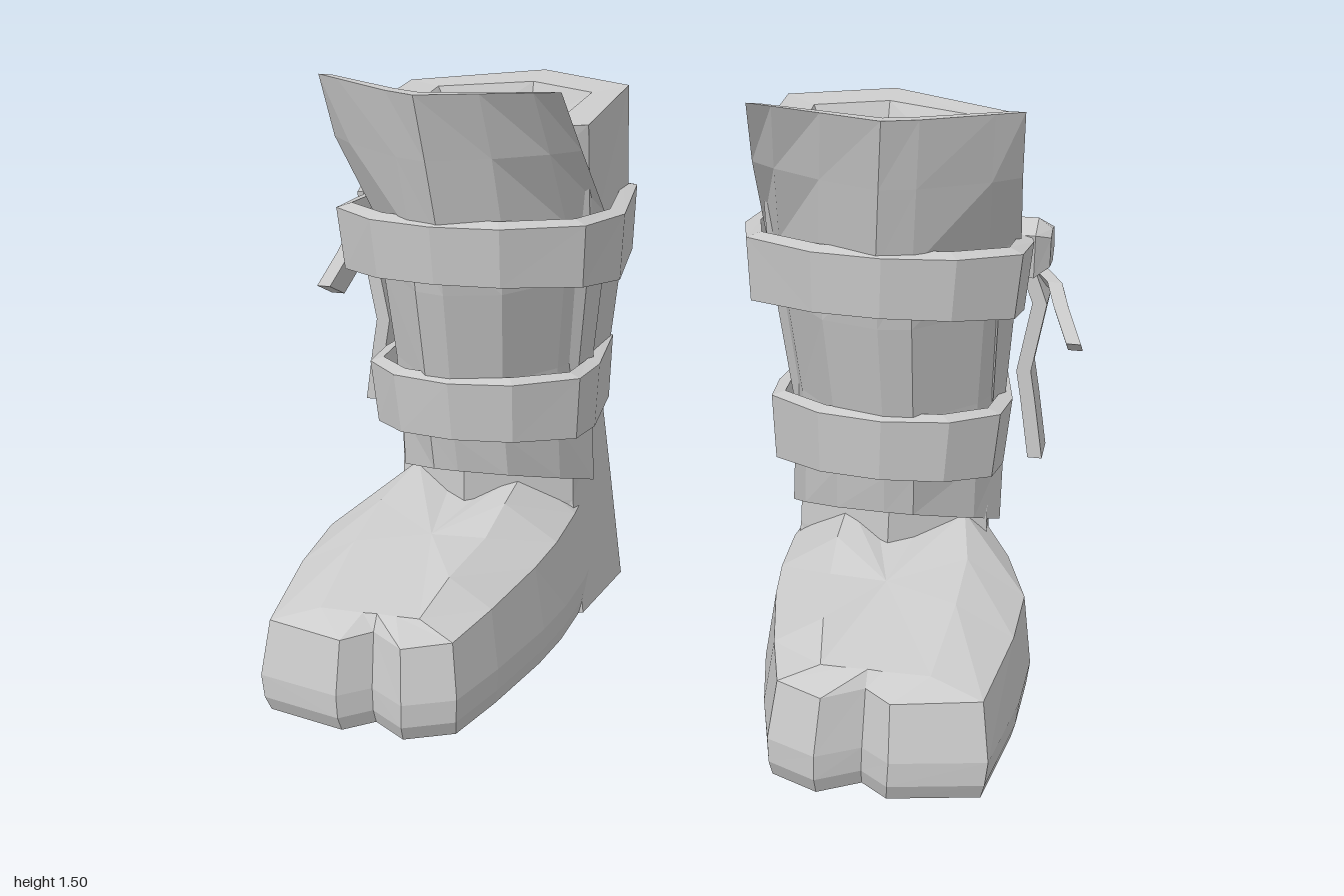
import * as THREE from 'three';

const material = new THREE.MeshStandardMaterial({ color: 0xcccccc, flatShading: true });
const thinMaterial = new THREE.MeshStandardMaterial({ color: 0xcccccc, flatShading: true, side: THREE.DoubleSide });
const lerp = THREE.MathUtils.lerp;

// Skins closed rings of [x, y, z] points. cap: 'fan' closes each end to a centre,
// 'strip' closes thin U sections, 'loop' joins the last ring to the first.
function loft(name, rings, cap = 'fan', mat = material) {
  const n = rings[0].length, m = rings.length;
  const pos = rings.flat(2), idx = [];
  const quad = (a, b, c, d) => idx.push(a, b, c, a, c, d);
  for (let r = 0; r < (cap === 'loop' ? m : m - 1); r++) {
    for (let i = 0; i < n; i++) {
      const j = (i + 1) % n, s = ((r + 1) % m) * n;
      quad(r * n + i, r * n + j, s + j, s + i);
    }
  }
  if (cap !== 'loop') {
    [0, m - 1].forEach((r) => {
      const o = r * n;
      if (cap === 'strip') {
        for (let i = 0; i < n / 2 - 1; i++) {
          const q = [o + i, o + n - 1 - i, o + n - 2 - i, o + i + 1];
          quad(...(r ? q.reverse() : q));
        }
        return;
      }
      const c = pos.length / 3;
      for (let k = 0; k < 3; k++) pos.push(rings[r].reduce((t, p) => t + p[k], 0) / n);
      for (let i = 0; i < n; i++) {
        const a = o + i, b = o + ((i + 1) % n);
        idx.push(c, r ? a : b, r ? b : a);
      }
    });
  }
  // Turn the faces outward if the enclosed volume came out negative
  const v = (i) => new THREE.Vector3().fromArray(pos, i * 3);
  let volume = 0;
  for (let t = 0; t < idx.length; t += 3) volume += v(idx[t]).dot(v(idx[t + 1]).cross(v(idx[t + 2])));
  if (volume < 0) idx.reverse();
  const g = new THREE.BufferGeometry();
  g.setAttribute('position', new THREE.Float32BufferAttribute(pos, 3));
  g.setIndex(idx);
  const flat = g.toNonIndexed();
  flat.computeVertexNormals();
  const mesh = new THREE.Mesh(flat, mat);
  mesh.name = name;
  return mesh;
}

// Piecewise-linear lookup in [key, value] pairs sorted by key
function lookup(table, k) {
  if (k <= table[0][0]) return table[0][1];
  for (let i = 1; i < table.length; i++) {
    const [k0, v0] = table[i - 1], [k1, v1] = table[i];
    if (k <= k1) return lerp(v0, v1, (k - k0) / (k1 - k0));
  }
  return table[table.length - 1][1];
}

// Six-sided leg column with a hollow at the top; corners run from the back round the outer side
function makeShaft() {
  const ring = (y, pts, slope = 0) => pts.map(([x, z]) => [x, y - slope * (z + 0.56), z]);
  return loft('shaft', [
    ring(0, [[0.5, -0.585], [0.77, -0.49], [0.85, -0.2], [0.55, -0.08], [0.28, -0.2], [0.25, -0.48]]),
    ring(0.32, [[0.5, -0.58], [0.77, -0.49], [0.79, -0.22], [0.56, -0.06], [0.31, -0.22], [0.28, -0.48]]),
    ring(0.52, [[0.49, -0.575], [0.77, -0.47], [0.785, -0.25], [0.56, -0.07], [0.31, -0.23], [0.3, -0.48]]),
    ring(1.05, [[0.48, -0.57], [0.79, -0.42], [0.8, -0.14], [0.55, 0.02], [0.23, -0.14], [0.22, -0.47]]),
    ring(1.405, [[0.47, -0.56], [0.785, -0.39], [0.8, -0.08], [0.55, 0.07], [0.21, -0.07], [0.21, -0.45]], 0.05),
    ring(1.4, [[0.47, -0.455], [0.7, -0.36], [0.7, -0.08], [0.53, 0], [0.3, -0.09], [0.29, -0.38]], 0.05),
    ring(1.28, [[0.47, -0.41], [0.64, -0.33], [0.64, -0.1], [0.52, -0.04], [0.35, -0.11], [0.34, -0.35]]),
  ]);
}

// Foot with a split toe: its outline is raised through sole, side, shoulder and instep
function makeFoot() {
  const outline = [[0.3, -0.45], [0.275, -0.2], [0.275, -0.03], [0.29, 0.12], [0.335, 0.36], [0.38, 0.54], [0.5, 0.6],
    [0.6, 0.53], [0.67, 0.59], [0.89, 0.53], [0.93, 0.22], [0.935, 0], [0.87, -0.2], [0.75, -0.45]];
  const shoulder = [[-0.2, 0.29], [0.25, 0.26], [0.55, 0.235]];
  const ridge = [[-0.15, 0.4], [-0.05, 0.38], [0.08, 0.335], [0.3, 0.325], [0.47, 0.275]];
  const ring = (sx, sz, height, tip = 1) => outline.map(([x, z]) => {
    const zz = z > 0 ? Math.min(z * sz, tip) : z;
    return [0.6 + (x - 0.6) * sx, height(zz), zz];
  });
  return loft('foot', [
    ring(0.95, 0.97, () => 0),
    ring(0.98, 1, () => 0.04),
    ring(1, 1, () => 0.1),
    ring(0.93, 0.95, (z) => lookup(shoulder, z)),
    ring(0.5, 0.9, (z) => lookup(ridge, z), 0.48),
  ]);
}

// Faceted guard over the shin, opening to a wide angled lip at the top
function makeShinGuard() {
  // y, dip of the side edges, x inner, x outer, z front, z inner side, z outer side, lip blend
  const levels = [
    [0.46, 0.11, 0.275, 0.815, -0.01, -0.3, -0.3, 0],
    [0.56, 0.02, 0.275, 0.815, 0.01, -0.3, -0.3, 0],
    [0.72, 0, 0.265, 0.815, 0.04, -0.28, -0.28, 0],
    [0.97, 0, 0.225, 0.83, 0.1, -0.25, -0.25, 0],
    [1.13, 0, 0.205, 0.84, 0.135, -0.19, -0.19, 0.2],
    [1.33, 0, 0.21, 0.85, 0.185, -0.01, -0.01, 0.6],
    [1.5, 0, 0.22, 0.855, 0.23, 0.12, 0.06, 1],
  ];
  // fraction across, forward fraction on the shin, forward fraction at the lip
  const section = [[0, 0, 0], [0.1, 0.45, 0.18], [0.29, 0.88, 0.55], [0.52, 1, 1],
    [0.65, 0.95, 0.8], [0.9, 0.45, 0.23], [1, 0, 0]];
  const rings = levels.map(([y, dip, xi, xo, f, si, so, lip]) => {
    const row = (t) => section.map(([u, shin, top]) => {
      const w = lerp(shin, top, lip);
      return [lerp(xi + t, xo - t, u), y - dip * (1 - w), lerp(u < 0.52 ? si : so, f - t, w)];
    });
    return [...row(0), ...row(0.035).reverse()];
  });
  return loft('shinGuard', rings, 'strip', thinMaterial);
}

// Closed band with a raised front; each outline point gives the outer edge
function makeStrap(name, pts, bottom, top, thickness, taper) {
  const cx = 0.52, cz = -0.22;
  const ring = (y, inset, rise) => pts.map(([x, z]) => {
    const d = Math.hypot(x - cx, z - cz), k = (d - inset) / d;
    return [cx + (x - cx) * k, y + Math.max(0, z + 0.2) * rise, cz + (z - cz) * k];
  });
  return loft(name, [
    ring(bottom, taper, 0.17), ring(top, 0, 0.1),
    ring(top + 0.01, thickness, 0.1), ring(bottom, thickness + taper, 0.17),
  ], 'loop');
}

// Loose strap end: path points with a half-width vector in y and z
function makeTail(name, path, wy, wz) {
  const t = 0.018;
  return loft(name, path.map(([x, y, z]) => [
    [x - t, y - wy, z - wz], [x + t, y - wy, z - wz], [x + t, y + wy, z + wz], [x - t, y + wy, z + wz],
  ]));
}

// Bulging knot on the outer side with two loose ends
function makeKnot() {
  const knot = new THREE.Group();
  knot.name = 'knot';
  const side = (x, pts) => pts.map(([y, z]) => [x, y, z]);
  const outline = [[1.13, -0.23], [1.155, -0.31], [1.13, -0.385], [1.06, -0.435], [1.0, -0.39], [1.02, -0.24]];
  const face = [[1.115, -0.275], [1.13, -0.31], [1.12, -0.365], [1.06, -0.4], [1.03, -0.37], [1.04, -0.28]];
  knot.add(
    loft('knotCore', [side(0.79, outline), side(0.87, outline), side(0.905, face)]),
    makeTail('shortTail', [[0.87, 1.02, -0.34], [0.92, 0.98, -0.32], [0.94, 0.93, -0.29], [0.98, 0.85, -0.24]], 0.024, 0.048),
    makeTail('longTail', [[0.85, 1.03, -0.345], [0.885, 0.94, -0.345], [0.87, 0.85, -0.345],
      [0.855, 0.76, -0.345], [0.87, 0.68, -0.345], [0.895, 0.53, -0.345]], 0, 0.055),
  );
  return knot;
}

function makeBoot(name) {
  const boot = new THREE.Group();
  boot.name = name;
  boot.add(
    makeShaft(), makeFoot(), makeShinGuard(),
    makeStrap('upperStrap', [[0.47, -0.605], [0.81, -0.43], [0.87, -0.2], [0.86, -0.02], [0.72, 0.11], [0.55, 0.155],
      [0.38, 0.13], [0.2, 0], [0.155, -0.2], [0.2, -0.49]], 0.95, 1.125, 0.04, 0.015),
    makeStrap('lowerStrap', [[0.48, -0.595], [0.8, -0.47], [0.835, -0.25], [0.82, -0.1], [0.71, 0.02], [0.55, 0.065],
      [0.39, 0.03], [0.25, -0.1], [0.24, -0.25], [0.27, -0.49]], 0.525, 0.7, 0.035, 0.015),
    makeKnot(),
  );
  return boot;
}

export function createModel() {
  const model = new THREE.Group();
  model.name = 'boots';
  const right = makeBoot('rightBoot');
  right.scale.x = -1;
  model.add(makeBoot('leftBoot'), right);
  return model;
}
